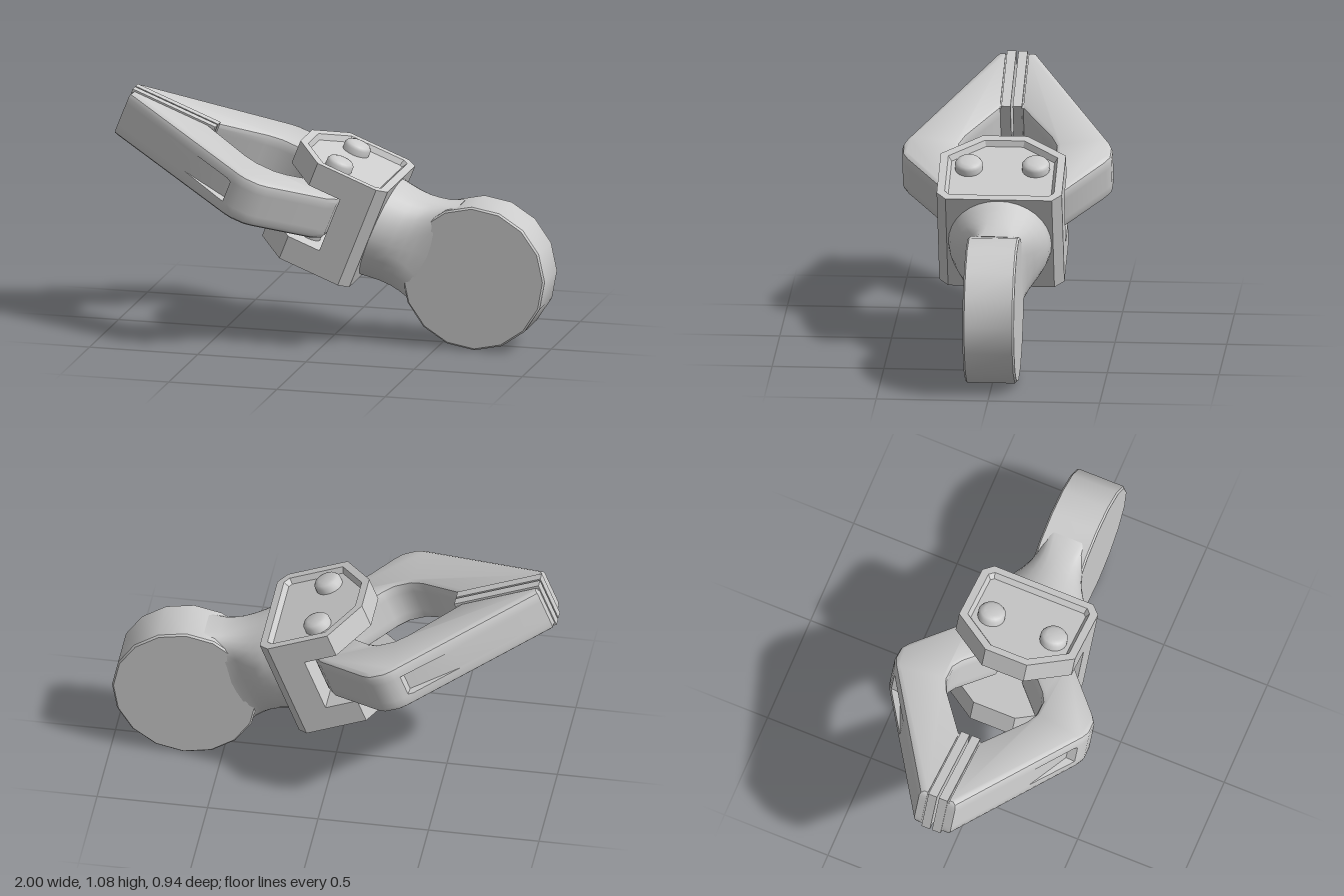
import * as THREE from 'three';
import { toCreasedNormals } from 'three/addons/utils/BufferGeometryUtils.js';

const material = new THREE.MeshStandardMaterial({ color: 0xcccccc });

function mesh(name, geometry, crease = 0.6) {
  const m = new THREE.Mesh(toCreasedNormals(geometry, crease), material);
  m.name = name;
  return m;
}

// Joins counter-clockwise [x, z] outlines, one per height, and caps both ends.
function loft(rings, heights) {
  const n = rings[0].length, positions = [], index = [];
  rings.forEach((ring, r) => ring.forEach(([x, z]) => positions.push(x, heights[r], z)));
  for (let r = 0; r < rings.length - 1; r++) {
    for (let i = 0; i < n; i++) {
      const a = r * n + i, b = r * n + (i + 1) % n;
      index.push(a, a + n, b + n, a, b + n, b);
    }
  }
  const cap = (ring) => THREE.ShapeUtils.triangulateShape(ring.map(([x, z]) => new THREE.Vector2(x, z)), []);
  for (const [a, b, c] of cap(rings[0])) index.push(a, b, c);
  const top = (rings.length - 1) * n;
  for (const [a, b, c] of cap(rings[rings.length - 1])) index.push(top + a, top + c, top + b);
  const g = new THREE.BufferGeometry();
  g.setAttribute('position', new THREE.Float32BufferAttribute(positions, 3));
  g.setIndex(index);
  g.computeVertexNormals();
  return g;
}

// Moves every edge of a counter-clockwise outline inward by distance(edge).
function inset(pts, distance) {
  const n = pts.length;
  const normal = (i) => {
    const [ax, az] = pts[i], [bx, bz] = pts[(i + 1) % n];
    const l = Math.hypot(bx - ax, bz - az);
    return [-(bz - az) / l, (bx - ax) / l];
  };
  return pts.map(([x, z], i) => {
    const j = (i + n - 1) % n;
    const [px, pz] = normal(j), [qx, qz] = normal(i);
    const dp = distance(j), dq = distance(i), det = px * qz - pz * qx;
    if (Math.abs(det) < 0.02) return [x + qx * dq, z + qz * dq];
    return [x + (dp * qz - dq * pz) / det, z + (px * dq - qx * dp) / det];
  });
}

// Round end disk with a slightly softened rim
function makeDisk() {
  const r = 0.33, h = 0.115, b = 0.008;
  const profile = [[0, -h], [r - b, -h], [r, b - h], [r, h - b], [r - b, h], [0, h]];
  const g = new THREE.LatheGeometry(profile.map(([x, y]) => new THREE.Vector2(x, y)), 16);
  g.rotateX(Math.PI / 2);
  const disk = mesh('endDisk', g);
  disk.position.y = -0.005;
  return disk;
}

// Neck blending from a circle at the yoke to the flat sides of the disk
function makeNeck() {
  // along axis, half height, half depth, squareness
  const sections = [
    [-0.49, 0.235, 0.232, 2], [-0.44, 0.229, 0.222, 2], [-0.39, 0.224, 0.199, 2.1],
    [-0.34, 0.224, 0.164, 2.4], [-0.3, 0.228, 0.135, 3], [-0.255, 0.236, 0.117, 4], [-0.19, 0.26, 0.112, 6],
  ];
  const rings = sections.map(([, hy, hz, e]) => Array.from({ length: 32 }, (_, i) => {
    const t = (i / 32) * Math.PI * 2, c = Math.cos(t), s = Math.sin(t);
    return [Math.sign(c) * hy * Math.abs(c) ** (2 / e), Math.sign(s) * hz * Math.abs(s) ** (2 / e)];
  }));
  const g = loft(rings, sections.map((s) => s[0]));
  g.rotateZ(-Math.PI / 2);
  return mesh('neck', g, 0.8);
}

// Yoke: a back block and two plates with recessed outer faces
function makeYoke() {
  const yoke = new THREE.Group();
  yoke.name = 'yoke';
  const block = [[-0.666, -0.28], [-0.53, -0.28], [-0.485, -0.238], [-0.485, 0.238], [-0.53, 0.28], [-0.666, 0.28]];
  yoke.add(mesh('yokeBlock', loft([block, block], [-0.13, 0.13])));

  const plate = [[-0.957, -0.1], [-0.82, -0.28], [-0.53, -0.28], [-0.485, -0.238],
    [-0.485, 0.238], [-0.53, 0.28], [-0.82, 0.28], [-0.957, 0.1]];
  const rings = [plate, plate, inset(plate, () => 0.035), inset(plate, () => 0.05)];
  for (const side of [1, -1]) {
    const m = mesh(side > 0 ? 'upperPlate' : 'lowerPlate', loft(rings, [0.13, 0.242, 0.242, 0.218]), 0.3);
    if (side < 0) m.rotation.x = Math.PI;
    yoke.add(m);
  }

  // Rivets through both plates with domed heads
  const half = [[0.045, 0.2], [0.062, 0.2], [0.062, 0.245], [0.053, 0.258], [0.035, 0.264], [0, 0.265]];
  const profile = [...half.map(([x, y]) => [x, -y]).reverse(), ...half];
  for (const z of [0.15, -0.15]) {
    const rivet = mesh('rivet', new THREE.LatheGeometry(profile.map(([x, y]) => new THREE.Vector2(x, y)), 20), 0.75);
    rivet.position.set(-0.745, 0, z);
    yoke.add(rivet);
  }
  return yoke;
}

// One bent jaw with bevelled edges, a tapering side pocket and a grip pad
function makeJaw(name) {
  const jaw = new THREE.Group();
  jaw.name = name;
  const outline = [
    [-1.752, 0.052], [-1.345, 0.052], [-1.14, 0.19], [-1.08, 0.215], [-1.0, 0.215], [-0.95, 0.19],
    [-0.79, 0.06], [-0.685, 0.06], [-0.685, 0.2], [-0.72, 0.255], [-0.96, 0.445], [-1.0, 0.468],
    [-1.07, 0.47], [-1.11, 0.455], [-1.13, 0.4435], [-1.15, 0.432], [-1.36, 0.3116], [-1.752, 0.087],
  ];
  const pocket = outline.map((p, i) => (i === 15 ? [-1.133, 0.402] : p));
  const bevel = (d) => inset(outline, (edge) => (edge === 0 ? 0 : edge === 17 ? d / 2 : d));
  const half = [[pocket, 0.045], [outline, 0.052], [outline, 0.08], [bevel(0.006), 0.097], [bevel(0.02), 0.106]];
  const layers = [...half.map(([ring, y]) => [ring, -y]).reverse(), ...half];
  jaw.add(mesh('jawArm', loft(layers.map((l) => l[0]), layers.map((l) => l[1]))));

  const pad = mesh('gripPad', new THREE.BoxGeometry(0.41, 0.224, 0.041));
  pad.position.set(-1.55, 0, 0.0255);
  const seam = mesh('padSeam', new THREE.BoxGeometry(0.4, 0.195, 0.012));
  seam.position.set(-1.55, 0, 0.05);
  jaw.add(pad, seam);
  return jaw;
}

export function createModel() {
  const model = new THREE.Group();
  model.name = 'gripper';
  const arm = new THREE.Group();
  arm.name = 'tiltedArm';
  const jawA = makeJaw('frontJaw'), jawB = makeJaw('backJaw');
  jawB.rotation.x = Math.PI;
  arm.add(makeDisk(), makeNeck(), makeYoke(), jawA, jawB);
  arm.position.set(0.67, 0.335, 0);
  arm.rotation.z = THREE.MathUtils.degToRad(-21.5);
  model.add(arm);
  return model;
}
